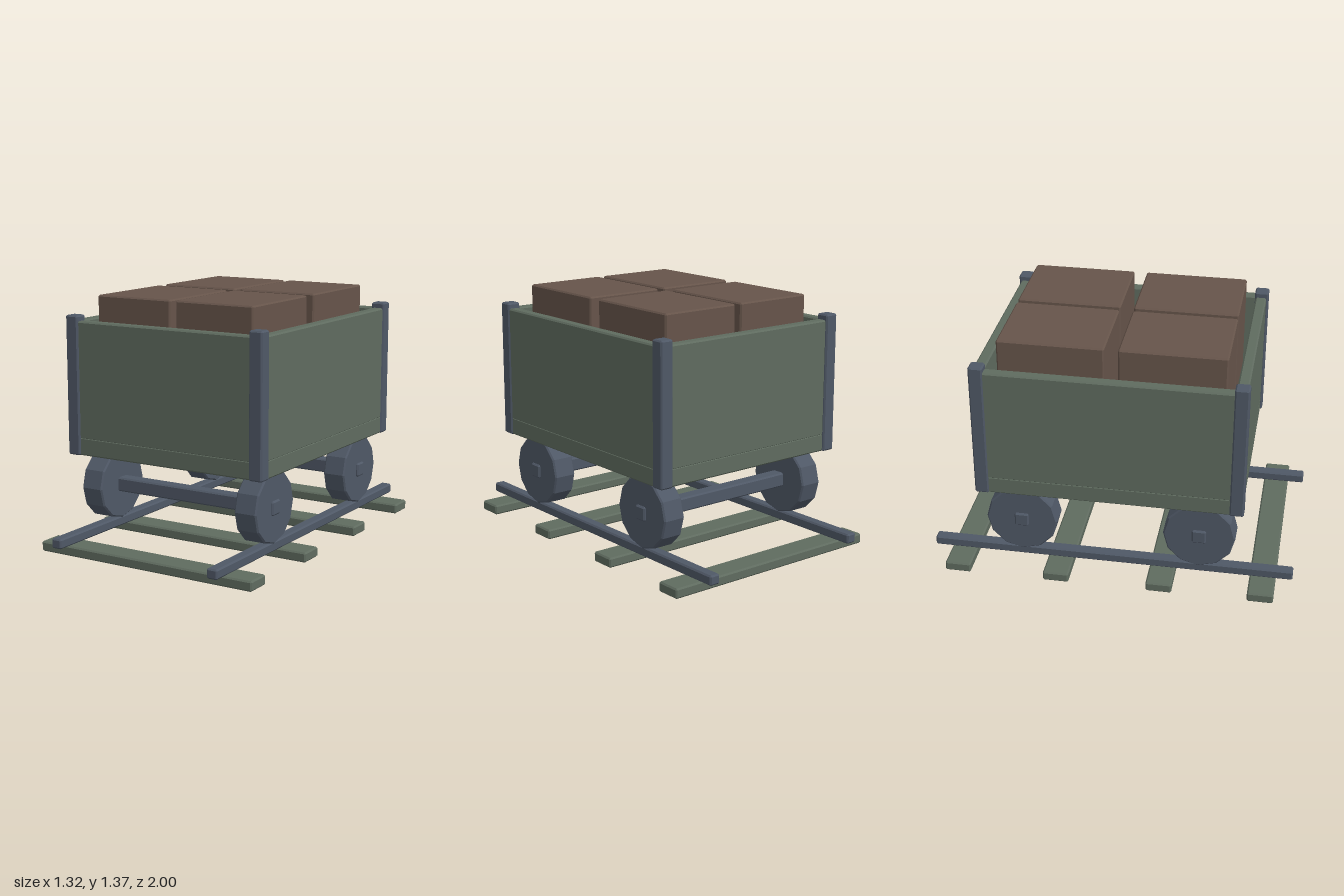
import * as THREE from 'three';
import { ConvexGeometry } from 'three/addons/geometries/ConvexGeometry.js';

const material = (name, color) => {
  const m = new THREE.MeshStandardMaterial({ color });
  m.name = name;
  return m;
};

// Box with a small chamfer on every edge
function chamferBox(w, h, d, c = 0.008) {
  const [x, y, z] = [w / 2, h / 2, d / 2];
  const points = [];
  for (const i of [-1, 1]) for (const j of [-1, 1]) for (const k of [-1, 1]) {
    points.push(
      new THREE.Vector3(i * x, j * (y - c), k * (z - c)),
      new THREE.Vector3(i * (x - c), j * y, k * (z - c)),
      new THREE.Vector3(i * (x - c), j * (y - c), k * z),
    );
  }
  return new ConvexGeometry(points);
}

// Twelve-sided disc with chamfered rims, its axis along x
function wheelGeometry(radius, width, c = 0.008) {
  const points = [];
  for (let i = 0; i < 12; i++) {
    const a = (i / 12) * Math.PI * 2;
    for (const [x, r] of [[width / 2, radius - c], [width / 2 - c, radius]]) {
      for (const s of [-1, 1]) points.push(new THREE.Vector3(s * x, r * Math.cos(a), r * Math.sin(a)));
    }
  }
  return new ConvexGeometry(points);
}

export function createModel() {
  const model = new THREE.Group();
  model.name = 'mineCart';
  const green = material('paintedWoodGreen', 0x5f6b5f);
  const steel = material('steelBlueGrey', 0x4f5866);
  const brown = material('crateBrown', 0x66544a);

  const add = (name, geometry, mat, x, y, z) => {
    const mesh = new THREE.Mesh(geometry, mat);
    mesh.name = name;
    mesh.position.set(x, y, z);
    model.add(mesh);
  };

  // Track: four sleepers and two rails
  const sleeper = chamferBox(1.32, 0.055, 0.142);
  for (const z of [-0.837, -0.285, 0.285, 0.837]) add('sleeper', sleeper, green, 0, 0.0275, z);
  const rail = chamferBox(0.062, 0.054, 2);
  for (const s of [-1, 1]) add('rail', rail, steel, s * 0.486, 0.089, 0);

  // Square axles and their wheels
  const axle = chamferBox(1.126, 0.078, 0.078);
  const wheel = wheelGeometry(0.196, 0.13);
  for (const z of [-0.487, 0.487]) {
    add('axle', axle, steel, 0, 0.319, z);
    for (const s of [-1, 1]) add('wheel', wheel, steel, s * 0.486, 0.319, z);
  }

  // Cart body: floor, end panels and side panels
  add('floor', chamferBox(1.2, 0.1, 1.425), green, 0, 0.557, 0);
  const endPanel = chamferBox(1.14, 0.64, 0.06);
  const sidePanel = chamferBox(0.06, 0.64, 1.36);
  for (const s of [-1, 1]) {
    add('endPanel', endPanel, green, 0, 0.917, s * 0.6825);
    add('sidePanel', sidePanel, green, s * 0.57, 0.917, 0);
  }

  // Corner posts
  const post = chamferBox(0.077, 0.76, 0.076);
  for (const x of [-0.569, 0.569]) for (const z of [-0.686, 0.686]) add('cornerPost', post, steel, x, 0.887, z);

  // Four crates loaded side by side
  const crate = chamferBox(0.464, 0.763, 0.566);
  for (const x of [-0.25, 0.25]) for (const z of [-0.319, 0.319]) add('crate', crate, brown, x, 0.9885, z);

  return model;
}
